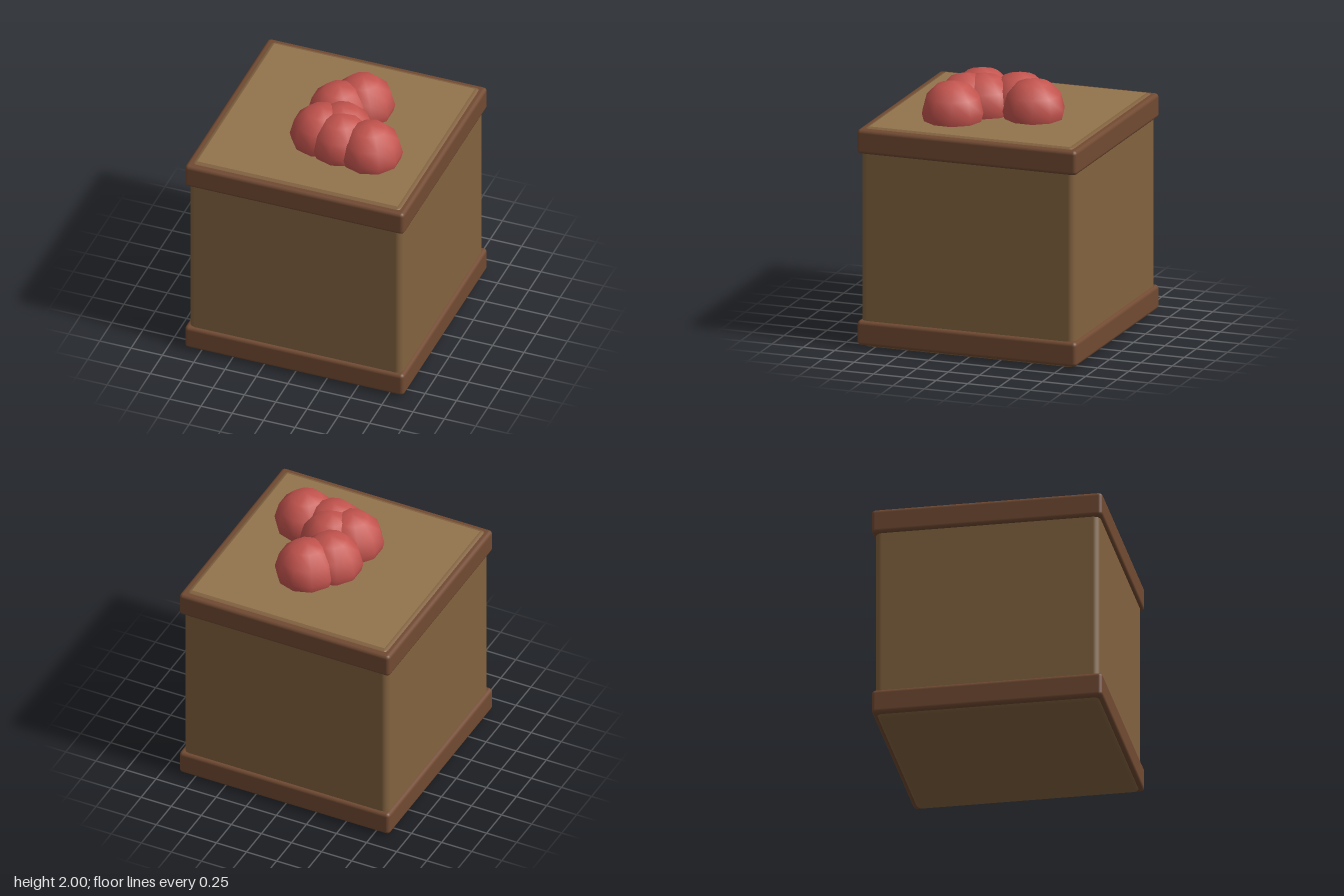
import * as THREE from 'three';
import { RoundedBoxGeometry } from 'three/addons/geometries/RoundedBoxGeometry.js';

const tan = new THREE.MeshStandardMaterial({ color: 0x82623f });
const paleTan = new THREE.MeshStandardMaterial({ color: 0x92744d });
const brown = new THREE.MeshStandardMaterial({ color: 0x714a32 });
const red = new THREE.MeshStandardMaterial({ color: 0xc4544e });

export function createModel() {
  const model = new THREE.Group();
  model.name = 'berryCrate';

  const add = (name, geometry, material, x, y, z) => {
    const mesh = new THREE.Mesh(geometry, material);
    mesh.name = name;
    mesh.position.set(x, y, z);
    model.add(mesh);
  };

  // Crate block with softened edges
  add('body', new RoundedBoxGeometry(1.7, 1.7, 1.7, 2, 0.05), tan, 0, 0.85, 0);

  // Paler flat surface on top
  const top = new THREE.PlaneGeometry(1.6, 1.6).rotateX(-Math.PI / 2);
  add('topPanel', top, paleTan, 0, 1.701, 0);

  // Trim bands around the bottom and the top
  const band = new RoundedBoxGeometry(1.75, 0.19, 1.75, 2, 0.03);
  add('bottomBand', band, brown, 0, 0.115, 0);
  add('topBand', band, brown, 0, 1.595, 0);

  // Cluster of low-poly berries, sunk into the top: [x, z]
  const berry = new THREE.SphereGeometry(0.24, 10, 6).rotateY(Math.PI / 2);
  const spots = [
    [0.12, -0.25], [-0.007, -0.09], [-0.03, 0.215],
    [0.11, 0.15], [0.15, 0.27], [0.39, 0.29],
  ];
  spots.forEach(([x, z], i) => add(`berry${i + 1}`, berry, red, x, 1.76, z));

  return model;
}
